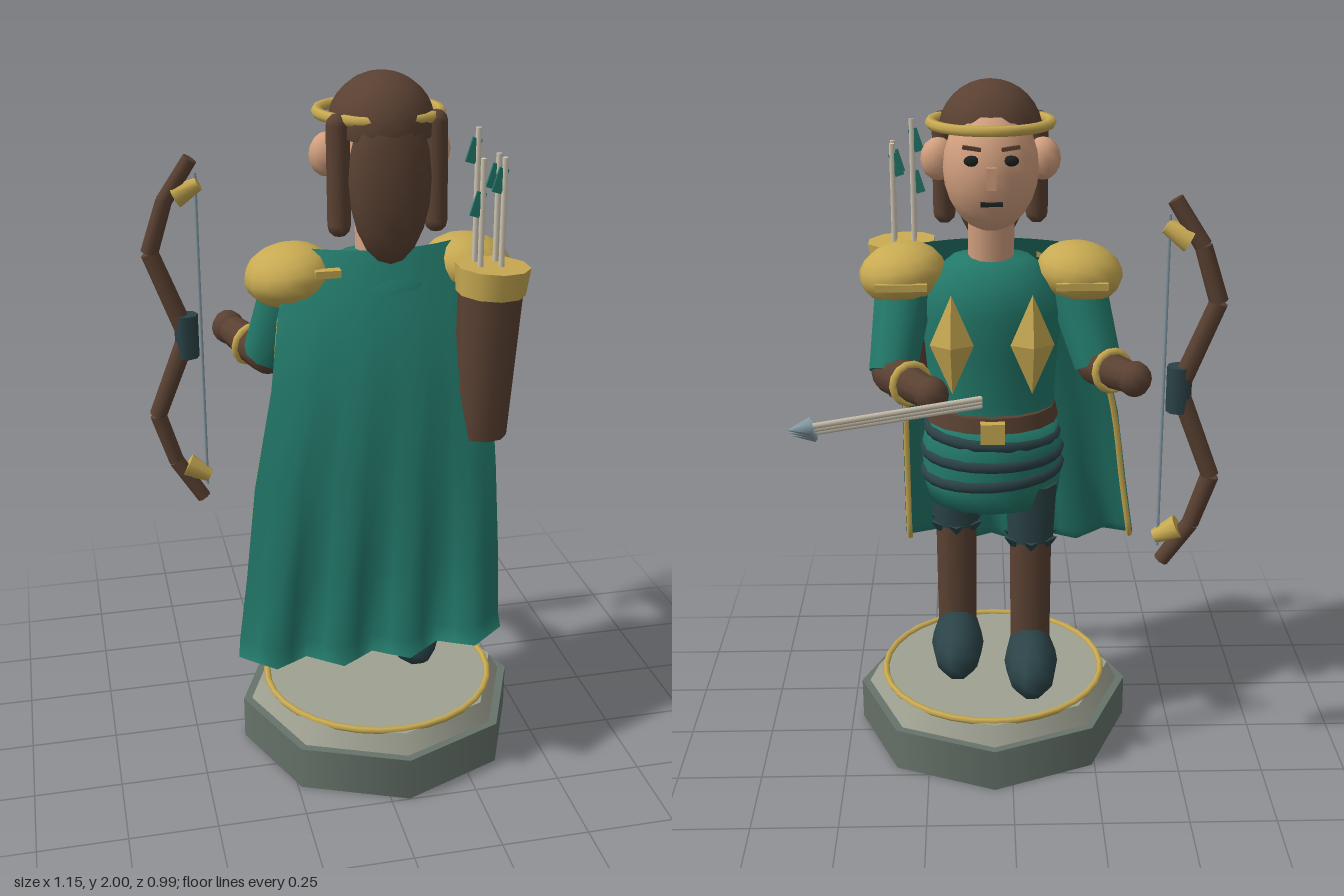
import * as THREE from 'three';

const mat = (name, color) => Object.assign(new THREE.MeshStandardMaterial({ color }), { name });
const V = (x, y, z) => new THREE.Vector3(x, y, z);

export function createModel() {
  const teal = mat('teal cloth', 0x23796a), gold = mat('gold', 0xc8aa52), brown = mat('brown leather', 0x5a4132);
  const dark = mat('dark teal', 0x2b4347), skin = mat('skin', 0xd3a07f), steel = mat('steel', 0x8399a2);
  const cream = mat('pale wood', 0xd2c9b6), stone = mat('dark stone', 0x66736a);
  const paleStone = mat('pale stone', 0x9fa192), black = mat('black', 0x1f2222);
  teal.side = THREE.DoubleSide;
  brown.side = THREE.DoubleSide;

  const model = new THREE.Group();
  model.name = 'archerFigure';
  const CX = 0.053, CZ = 0.083;
  const add = (name, geo, m, x = 0, y = 0, z = 0) => {
    const mesh = new THREE.Mesh(geo, m);
    mesh.name = name;
    mesh.position.set(x, y, z);
    model.add(mesh);
    return mesh;
  };
  const ball = (name, m, p, r, w = 12, h = 9) => {
    const mesh = add(name, new THREE.SphereGeometry(1, w, h), m, ...p);
    mesh.scale.set(...r);
    return mesh;
  };
  const box = (name, m, p, s) => add(name, new THREE.BoxGeometry(...s), m, ...p);
  // Tapered rod running from a to b
  const rod = (name, m, a, b, ra, rb = ra, seg = 8) => {
    const d = b.clone().sub(a);
    const mesh = add(name, new THREE.CylinderGeometry(rb, ra, d.length(), seg), m);
    mesh.position.copy(a).addScaledVector(d, 0.5);
    mesh.quaternion.setFromUnitVectors(V(0, 1, 0), d.normalize());
    return mesh;
  };
  const hoop = (name, m, p, R, r, sx = 1, seg = 24) => {
    const mesh = add(name, new THREE.TorusGeometry(R, r, 6, seg).rotateX(Math.PI / 2), m, ...p);
    mesh.scale.x = sx;
    return mesh;
  };

  // Octagonal plinth
  add('plinth', new THREE.CylinderGeometry(0.415, 0.415, 0.13, 8), stone, CX, 0.065, CZ);
  add('plinthTop', new THREE.CylinderGeometry(0.36, 0.39, 0.055, 8), paleStone, CX, 0.1575, CZ);
  hoop('plinthRing', gold, [CX, 0.186, CZ], 0.338, 0.01, 1, 32);

  // Legs and shoes, one foot forward
  for (const [x, zLeg, zShoe] of [[-0.06, 0.005, -0.08], [0.163, 0.125, 0.038]]) {
    ball('shoe', dark, [x, 0.29, zShoe], [0.08, 0.092, 0.172], 10, 8);
    rod('leg', brown, V(x, 0.3, zLeg), V(x, 0.7, zLeg + 0.01), 0.062, 0.065, 10);
    rod('shortLeg', dark, V(x, 0.66, zLeg + 0.01), V(x, 0.84, zLeg + 0.015), 0.07, 0.08, 10);
    for (let i = 0; i < 6; i++) { // pointed hem
      const a = i / 6 * Math.PI * 2;
      const tip = add('hemPoint', new THREE.ConeGeometry(0.034, 0.05, 4), dark,
        x + Math.sin(a) * 0.052, 0.645, zLeg + 0.01 + Math.cos(a) * 0.052);
      tip.rotation.x = Math.PI;
    }
  }

  // Skirt, torso and belt
  const lathe = (name, pts, sx, sz) => {
    const g = new THREE.LatheGeometry(pts.map(p => new THREE.Vector2(...p)), 16);
    add(name, g, teal, CX, 0, CZ).scale.set(sx, 1, sz);
  };
  lathe('skirt', [[0, 0.78], [0.176, 0.782], [0.183, 0.84], [0.185, 0.95], [0.165, 1.04], [0, 1.05]], 1.12, 1);
  lathe('torso', [[0.155, 1.03], [0.145, 1.1], [0.155, 1.25], [0.165, 1.36], [0.15, 1.45], [0.09, 1.51], [0, 1.53]], 1.25, 0.95);
  [[0.87, 0.18], [0.93, 0.179], [0.99, 0.17]].forEach(([y, R], i) => {
    const band = hoop('skirtBand', dark, [CX, y, CZ], R, 0.013, 1.12);
    band.scale.y = 1.4;
    band.rotation.z = (i - 1) * 0.06;
  });
  const belt = add('belt', new THREE.CylinderGeometry(0.162, 0.17, 0.045, 16), brown, CX, 1.05, CZ);
  belt.scale.x = 1.15;
  box('buckle', gold, [CX, 1.035, -0.09], [0.07, 0.06, 0.03]);

  // Diamond chest plates
  for (const s of [-1, 1]) {
    const plate = add('chestDiamond', new THREE.OctahedronGeometry(1), gold, CX + s * 0.113, 1.29, -0.068);
    plate.scale.set(0.062, 0.145, 0.04);
    plate.rotation.y = -s * 0.08;
  }

  // Arms, gloves and shoulder pads
  const arms = [
    [V(-0.19, 1.42, 0.08), V(-0.25, 1.21, 0.0), V(-0.285, 1.215, -0.075), V(-0.335, 1.23, -0.19)],
    [V(0.30, 1.42, 0.08), V(0.335, 1.2, -0.035), V(0.28, 1.2, -0.13), V(0.22, 1.21, -0.248)],
  ];
  for (const [shoulder, elbow, wrist, hand] of arms) {
    rod('sleeve', teal, shoulder, elbow, 0.088, 0.07, 10);
    ball('elbow', brown, elbow.toArray(), [0.06, 0.06, 0.06], 10, 8);
    rod('forearm', brown, elbow, wrist, 0.06, 0.054, 10);
    const cuff = add('bracelet', new THREE.TorusGeometry(0.054, 0.012, 6, 14), gold, ...wrist.toArray());
    cuff.lookAt(hand);
    rod('glove', brown, wrist, hand, 0.05, 0.042, 10);
    ball('hand', brown, hand.toArray(), [0.048, 0.05, 0.048], 10, 8);
  }
  for (const s of [-1, 1]) {
    const x = CX + s * 0.252;
    ball('shoulderPad', gold, [x, 1.462, CZ], [0.125, 0.086, 0.13], 14, 10).rotation.z = -s * 0.15;
    box('padTrim', gold, [x, 1.45, -0.042], [0.145, 0.02, 0.016]);
  }
  box('capeClasp', gold, [-0.115, 1.49, 0.19], [0.07, 0.02, 0.03]);

  // Head
  rod('neck', skin, V(CX, 1.47, 0.07), V(CX, 1.66, 0.05), 0.065, 0.065, 12);
  ball('head', skin, [CX, 1.77, 0.03], [0.132, 0.175, 0.14], 16, 12);
  box('nose', skin, [CX, 1.765, -0.106], [0.026, 0.06, 0.026]);
  box('mouth', black, [CX, 1.695, -0.1], [0.06, 0.01, 0.02]);
  for (const s of [-1, 1]) {
    ball('ear', skin, [CX + s * 0.145, 1.785, 0.08], [0.05, 0.06, 0.046], 10, 8);
    ball('eye', black, [CX + s * 0.052, 1.81, -0.094], [0.022, 0.015, 0.009], 8, 6);
    box('brow', brown, [CX + s * 0.052, 1.843, -0.092], [0.05, 0.01, 0.012]).rotation.z = s * 0.15;
    const lock = add('sideHair', new THREE.CapsuleGeometry(0.032, 0.26, 3, 10), brown, CX + s * 0.132, 1.745, 0.165);
    lock.rotation.x = -0.06;
  }
  const cap = add('hairCap', new THREE.SphereGeometry(1, 16, 8, 0, Math.PI * 2, 0, Math.PI * 0.5), brown, CX, 1.855, 0.092);
  cap.scale.set(0.145, 0.145, 0.152);
  cap.rotation.x = 0.15;
  ball('backHair', brown, [CX, 1.735, 0.195], [0.112, 0.225, 0.065], 12, 10).rotation.x = -0.06;
  hoop('circlet', gold, [CX, 1.89, 0.055], 0.165, 0.015, 1, 28);

  // Cape: rows of [y, left x, right x, z], folds deepening to a flared hem
  const rows = [[1.54, -0.175, 0.27, 0.17], [1.39, -0.25, 0.3, 0.25], [1.2, -0.285, 0.325, 0.315],
    [0.945, -0.345, 0.33, 0.36], [0.7, -0.38, 0.332, 0.398], [0.52, -0.408, 0.332, 0.42], [0.485, -0.414, 0.332, 0.445]];
  const last = rows.length - 1, folds = 16;
  const cape = new THREE.PlaneGeometry(1, 1, folds, last);
  const edges = [[], []];
  const pos = cape.attributes.position;
  rows.forEach(([y, xl, xr, z], j) => {
    for (let i = 0; i <= folds; i++) {
      const u = i / folds, s = u * 2 - 1, v = (1.54 - y) / 1.055;
      const fold = [-1, 0, 1, 0][i % 4] * 0.032 * v ** 3;
      const p = V(xl + (xr - xl) * u, y - 0.03 * v ** 4 * (1 - s * s), z + fold - 0.07 * (1 - v) * s * s);
      pos.setXYZ(j * (folds + 1) + i, p.x, p.y, p.z);
      if (i === 0) edges[0].push(p);
      if (i === folds) edges[1].push(p);
    }
  });
  cape.computeVertexNormals();
  add('cape', cape, teal);
  edges.forEach((pts, k) => {
    const trim = pts.map(p => p.clone().add(V(k ? -0.012 : 0.012, 0, -0.014)));
    add('capeTrim', new THREE.TubeGeometry(new THREE.CatmullRomCurve3(trim), 16, 0.01, 5), gold);
  });

  // Quiver with four arrows
  rod('quiver', brown, V(0.295, 1.03, 0.273), V(0.312, 1.45, 0.275), 0.074, 0.088, 10);
  rod('quiverRim', gold, V(0.312, 1.435, 0.275), V(0.316, 1.51, 0.275), 0.094, 0.102, 10);
  for (const [x, z, top, fy] of [[0.277, 0.235, 1.87, 1.81], [0.335, 0.235, 1.8, 1.74],
    [0.277, 0.287, 1.8, 1.68], [0.335, 0.287, 1.8, 1.74]]) {
    rod('quiverArrow', cream, V(x, 1.45, z), V(x, top, z), 0.008, 0.008, 6);
    const feather = box('fletching', teal, [x - 0.012, fy, z], [0.026, 0.066, 0.008]);
    feather.rotation.z = -0.3;
  }

  // Three arrows held in the hand
  for (let i = 0; i < 3; i++) {
    const y = 1.205 - i * 0.025, a = V(0.085, y, -0.27 + i * 0.04), tip = V(0.577, y, -0.495 + i * 0.045);
    const neck = a.clone().lerp(tip, 0.89);
    rod('heldArrow', cream, a, neck, 0.008, 0.008, 6);
    rod('arrowHead', steel, neck, tip, 0.026, 0.001, 6);
  }

  // Bow, mirrored about its grip
  const at = (x, y) => V(x, y, -0.23 + (x + 0.575) * 0.2);
  const gripY = 1.207;
  for (const s of [-1, 1]) {
    const limb = [[-0.455, 0], [-0.55, 0.25], [-0.503, 0.4], [-0.426, 0.522]].map(([x, d]) => at(x, gripY + s * d));
    for (let i = 0; i < 3; i++) rod('bowLimb', brown, limb[i], limb[i + 1], 0.028 - i * 0.002, 0.026 - i * 0.002, 8);
    rod('bowTip', gold, at(-0.47, gripY + s * 0.415), at(-0.405, gripY + s * 0.45), 0.036, 0.02, 8);
  }
  rod('bowGrip', dark, at(-0.456, gripY - 0.065), at(-0.456, gripY + 0.065), 0.035, 0.035, 8);
  rod('bowString', steel, at(-0.414, 0.73), at(-0.414, 1.69), 0.005, 0.005, 6);

  return model;
}
